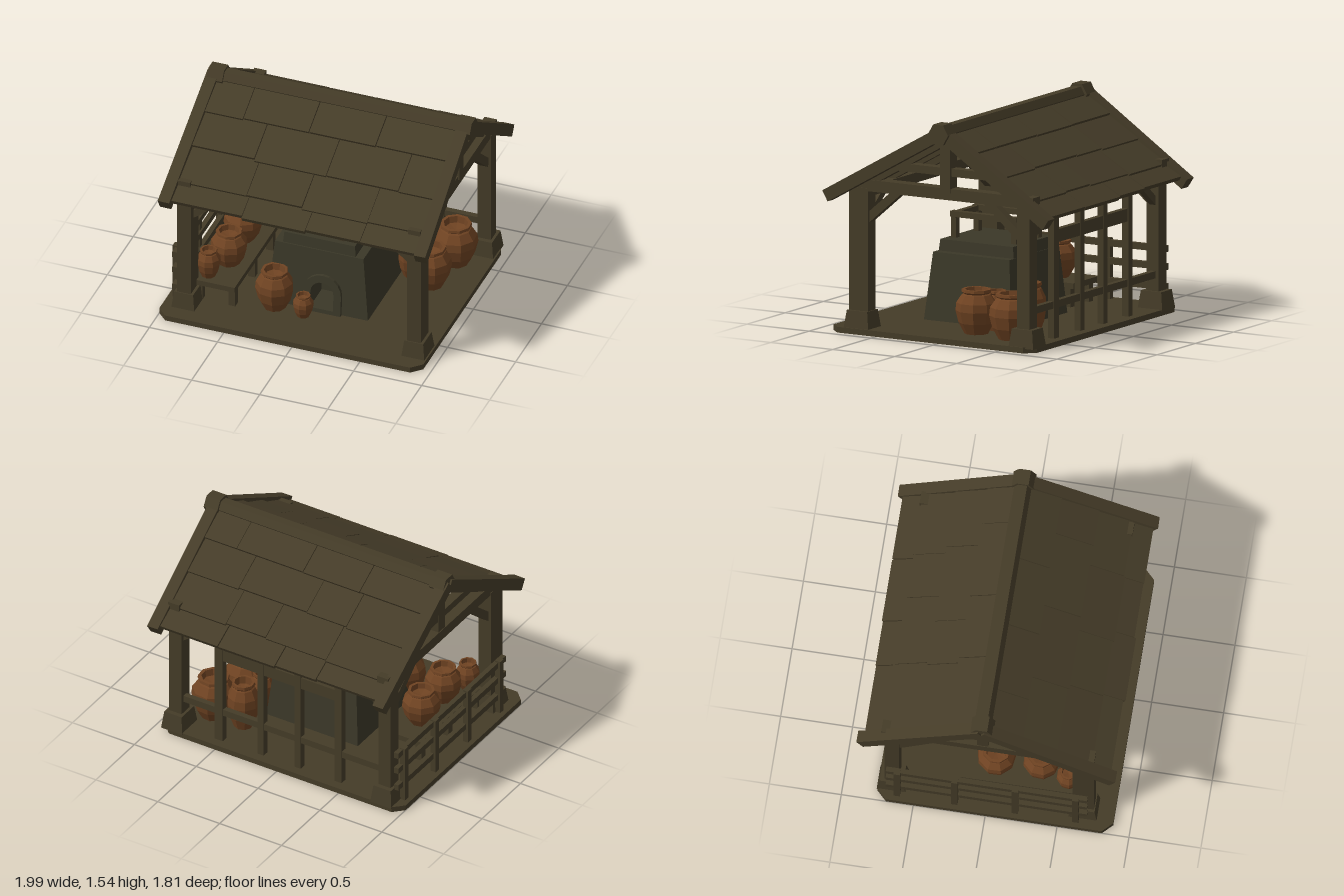
import * as THREE from 'three';

const mat = (name, color) => Object.assign(new THREE.MeshStandardMaterial({ color }), { name });

export function createModel() {
  const wood = mat('dark timber', 0x453c28);
  const stone = mat('kiln clay', 0x3b3828);
  const clay = mat('terracotta', 0x6f4322);
  const root = new THREE.Group();
  root.name = 'potteryShelter';

  let seed = 7;
  const rnd = (a = 0, b = 1) => {
    seed = (seed * 16807) % 2147483647;
    return a + (b - a) * seed / 2147483647;
  };

  const add = (name, geo, material, parent = root) => {
    const m = new THREE.Mesh(geo, material);
    m.name = name;
    parent.add(m);
    return m;
  };
  const group = (name) => {
    const g = new THREE.Group();
    g.name = name;
    root.add(g);
    return g;
  };
  const flat = (geo) => {
    const g = geo.index ? geo.toNonIndexed() : geo;
    g.computeVertexNormals();
    return g;
  };
  // Box given by its limits; its top can be narrowed
  const box = (name, x0, x1, y0, y1, z0, z1, parent = root, material = wood, taper = 1) => {
    const geo = new THREE.BoxGeometry(x1 - x0, y1 - y0, z1 - z0);
    const p = geo.attributes.position;
    for (let i = 0; i < p.count; i++) {
      if (p.getY(i) > 0) p.setXYZ(i, p.getX(i) * taper, p.getY(i), p.getZ(i) * taper);
    }
    const m = add(name, flat(geo), material, parent);
    m.position.set((x0 + x1) / 2, (y0 + y1) / 2, (z0 + z1) / 2);
    return m;
  };
  // Squared timber running between two points
  const beam = (name, a, b, w, h, parent = root) => {
    const A = new THREE.Vector3(...a), B = new THREE.Vector3(...b);
    const m = add(name, new THREE.BoxGeometry(w, h, A.distanceTo(B)), wood, parent);
    m.position.copy(A).add(B).multiplyScalar(0.5);
    m.lookAt(B);
    return m;
  };

  // Floor slab with clipped corners
  const c = 0.07;
  const floor = new THREE.Shape([
    [-1 + c, -0.88], [0.94 - c, -0.88], [0.94, -0.88 + c], [0.94, 0.76 - c],
    [0.94 - c, 0.76], [-1 + c, 0.76], [-1, 0.76 - c], [-1, -0.88 + c],
  ].map(([x, y]) => new THREE.Vector2(x, y)));
  const slab = new THREE.ExtrudeGeometry(floor, { depth: 0.04, bevelEnabled: false });
  add('floor', slab.rotateX(-Math.PI / 2), wood);

  // Corner posts, footings and braces
  const posts = group('cornerPosts');
  for (const s of [-1, 1]) {
    for (const [z0, z1] of [[0.59, 0.74], [-0.715, -0.615]]) {
      const x = s * 0.845, zc = (z0 + z1) / 2, k = Math.sign(zc);
      box('post', x - 0.05, x + 0.05, 0.04, 1.02, z0, z1, posts);
      box('footing', x - 0.085, x + 0.085, 0.03, 0.16, zc - 0.1, zc + 0.1, posts, wood, 0.82);
      beam('sideBrace', [x, 0.79, zc - k * 0.04], [x, 1.03, zc - k * 0.32], 0.06, 0.06, posts);
      beam('eaveBrace', [x - s * 0.02, 0.77, zc], [x - s * 0.3, 0.99, zc], 0.05, 0.05, posts);
    }
  }

  // Gable trusses
  const ridgeZ = -0.035;
  const trusses = group('trusses');
  for (const s of [-1, 1]) {
    const x = s * 0.845;
    box('tieBeam', x - 0.045, x + 0.045, 1.0, 1.08, -0.74, 0.74, trusses);
    box('collar', x - 0.035, x + 0.035, 1.165, 1.22, -0.4, 0.35, trusses);
    box('kingPost', x - 0.04, x + 0.055, 1.05, 1.44, ridgeZ - 0.04, ridgeZ + 0.04, trusses);
    beam('rafter', [x, 1.42, ridgeZ], [x, 0.98, 0.74], 0.07, 0.06, trusses);
    beam('rafter', [x, 1.42, ridgeZ], [x, 0.95, -0.76], 0.07, 0.06, trusses);
  }
  for (const z of [0.665, -0.665]) box('wallPlate', -0.88, 0.88, 0.95, 1.02, z - 0.045, z + 0.045, trusses);
  for (const x of [-0.45, 0, 0.45]) {
    beam('commonRafter', [x, 1.425, ridgeZ], [x, 0.965, 0.78], 0.05, 0.05, trusses);
    beam('commonRafter', [x, 1.425, ridgeZ], [x, 0.935, -0.78], 0.05, 0.05, trusses);
  }

  // Roof: overlapping courses of rough boards on both slopes
  const roof = group('roof');
  const edges = { 1: [-0.02, 0.23, 0.48, 0.72, 0.86], '-1': [-0.05, -0.27, -0.49, -0.72, -0.85] };
  for (const side of [1, -1]) {
    const eaveY = side > 0 ? 0.96 : 0.94;
    const e = edges[side];
    const yAt = (z) => 1.475 + (eaveY - 1.475) * (z - e[0]) / (e[4] - e[0]);
    for (let r = 0; r < 4; r++) {
      let x = -0.9;
      while (x < 0.88) {
        let x1 = x + rnd(0.3, 0.55);
        if (x1 > 0.72) x1 = 0.9;
        const zTop = e[r] - side * 0.03, zLow = e[r + 1] + side * rnd(-0.006, 0.012);
        beam('roofBoard', [(x + x1) / 2, yAt(zTop) - 0.012, zTop],
          [(x + x1) / 2, yAt(zLow) + 0.012 + rnd(-0.003, 0.003), zLow],
          x1 - x - rnd(0.002, 0.008), 0.032, roof);
        x = x1;
      }
    }
    // Heavy verge timbers at the gable ends
    const endZ = side > 0 ? 0.88 : -0.88, endY = side > 0 ? 0.955 : 0.915;
    const skew = side > 0 ? 0.015 : -0.015;
    beam('vergeTimber', [-0.915, 1.475, ridgeZ], [-0.92 - skew, endY, endZ], 0.085, 0.085, roof);
    beam('vergeTimber', [0.925, 1.475, ridgeZ], [0.93 + skew, endY, endZ], 0.085, 0.085, roof);
  }

  // Ridge log with thicker ends
  const ridge = (name, x0, x1, r) => {
    const g = new THREE.CylinderGeometry(r, r, x1 - x0, 6).rotateZ(Math.PI / 2);
    add(name, flat(g), wood, roof).position.set((x0 + x1) / 2, 1.47, ridgeZ);
  };
  ridge('ridgeLog', -0.9, 0.9, 0.06);
  ridge('ridgeEnd', -0.945, -0.83, 0.08);
  ridge('ridgeEnd', 0.88, 0.99, 0.08);

  // Open timber frame along the back
  const back = group('backFrame');
  for (const [x0, x1] of [[-0.485, -0.43], [-0.155, -0.105], [0.145, 0.195], [0.475, 0.54]]) {
    box('stud', x0, x1, 0.04, 0.97, -0.695, -0.645, back);
  }
  box('upperRail', -0.46, 0.52, 0.705, 0.795, -0.69, -0.65, back);
  box('lowerRail', -0.84, 0.84, 0.25, 0.3, -0.69, -0.65, back);

  // Side fence
  const fence = group('sideFence');
  for (const y of [0.165, 0.305, 0.43]) {
    beam('fenceRail', [-0.93, y, 0.7], [-0.93, y + 0.005, -0.7], 0.035, 0.045, fence);
  }
  for (const z of [0.62, 0.2, -0.22, -0.62]) box('fencePost', -0.965, -0.925, 0.04, 0.465, z - 0.022, z + 0.022, fence);

  // Kiln with a real arched firebox; walls lean inwards
  const kiln = group('kiln');
  const lean = (geo) => {
    const p = geo.attributes.position;
    for (let i = 0; i < p.count; i++) p.setZ(i, 0.09 + (p.getZ(i) - 0.09) * (1 - 0.26 * p.getY(i)));
    return flat(geo);
  };
  const outline = () => new THREE.Shape([[-0.345, 0.03], [0.395, 0.03], [0.345, 0.51], [-0.305, 0.51]]
    .map(([x, y]) => new THREE.Vector2(x, y)));
  const arch = (path, r, y0) => {
    path.moveTo(0.06 - r, y0);
    path.lineTo(0.06 + r, y0);
    path.lineTo(0.06 + r, 0.19);
    path.absarc(0.06, 0.19, r, 0, Math.PI, false);
    path.closePath();
    return path;
  };
  const slice = (name, shape, z, depth) =>
    add(name, lean(new THREE.ExtrudeGeometry(shape, { depth, bevelEnabled: false, curveSegments: 5 }).translate(0, 0, z)), stone, kiln);
  const front = outline();
  front.holes.push(arch(new THREE.Path(), 0.085, 0.07));
  slice('kilnFront', front, 0.24, 0.21);
  slice('kilnBody', outline(), -0.26, 0.5);
  const ring = arch(new THREE.Shape(), 0.14, 0.04);
  ring.holes.push(arch(new THREE.Path(), 0.085, 0.07));
  slice('fireboxArch', ring, 0.43, 0.045);
  box('kilnCap', -0.25, 0.285, 0.5, 0.59, -0.21, 0.395, kiln, stone, 0.97);

  // Frame standing on the kiln
  for (const x of [-0.13, 0.165]) {
    for (const z of [0.335, -0.15]) box('rackLeg', x - 0.022, x + 0.022, 0.58, 0.745, z - 0.02, z + 0.02, kiln);
    box('rackBar', x - 0.025, x + 0.025, 0.735, 0.775, -0.175, 0.36, kiln);
  }
  for (const z of [0.335, -0.15]) box('rackCrossbar', -0.155, 0.19, 0.73, 0.77, z - 0.02, z + 0.02, kiln);

  // Bench
  const bench = group('bench');
  box('benchTop', -0.82, -0.515, 0.17, 0.21, -0.2, 0.63, bench);
  for (const x of [-0.785, -0.545]) {
    for (const z of [0.58, 0.2, -0.15]) box('benchLeg', x - 0.025, x + 0.025, 0.04, 0.18, z - 0.025, z + 0.025, bench);
  }

  // Faceted clay jars: x, z, floor height, radius, height
  const jars = group('jars');
  const profile = [[0, 0], [0.58, 0], [0.86, 0.25], [1, 0.52], [0.96, 0.7], [0.7, 0.88], [0.62, 0.9],
    [0.72, 0.94], [0.7, 1], [0.55, 1], [0.5, 0.85], [0, 0.8]];
  for (const [x, z, y, r, h] of [
    [-0.27, 0.5, 0.04, 0.135, 0.3], [-0.045, 0.54, 0.04, 0.073, 0.17],
    [0.64, -0.13, 0.04, 0.145, 0.31], [0.7, -0.45, 0.04, 0.155, 0.32],
    [0.46, -0.45, 0.04, 0.115, 0.36], [0.47, -0.19, 0.04, 0.09, 0.28],
    [-0.74, 0.54, 0.21, 0.085, 0.21], [-0.665, 0.34, 0.21, 0.13, 0.26], [-0.68, 0.03, 0.21, 0.135, 0.26],
  ]) {
    const g = new THREE.LatheGeometry(profile.map(([a, b]) => new THREE.Vector2(a * r, b * h)), 9);
    const m = add('jar', flat(g), clay, jars);
    m.position.set(x, y, z);
    m.rotation.y = rnd(0, 6);
  }

  return root;
}
